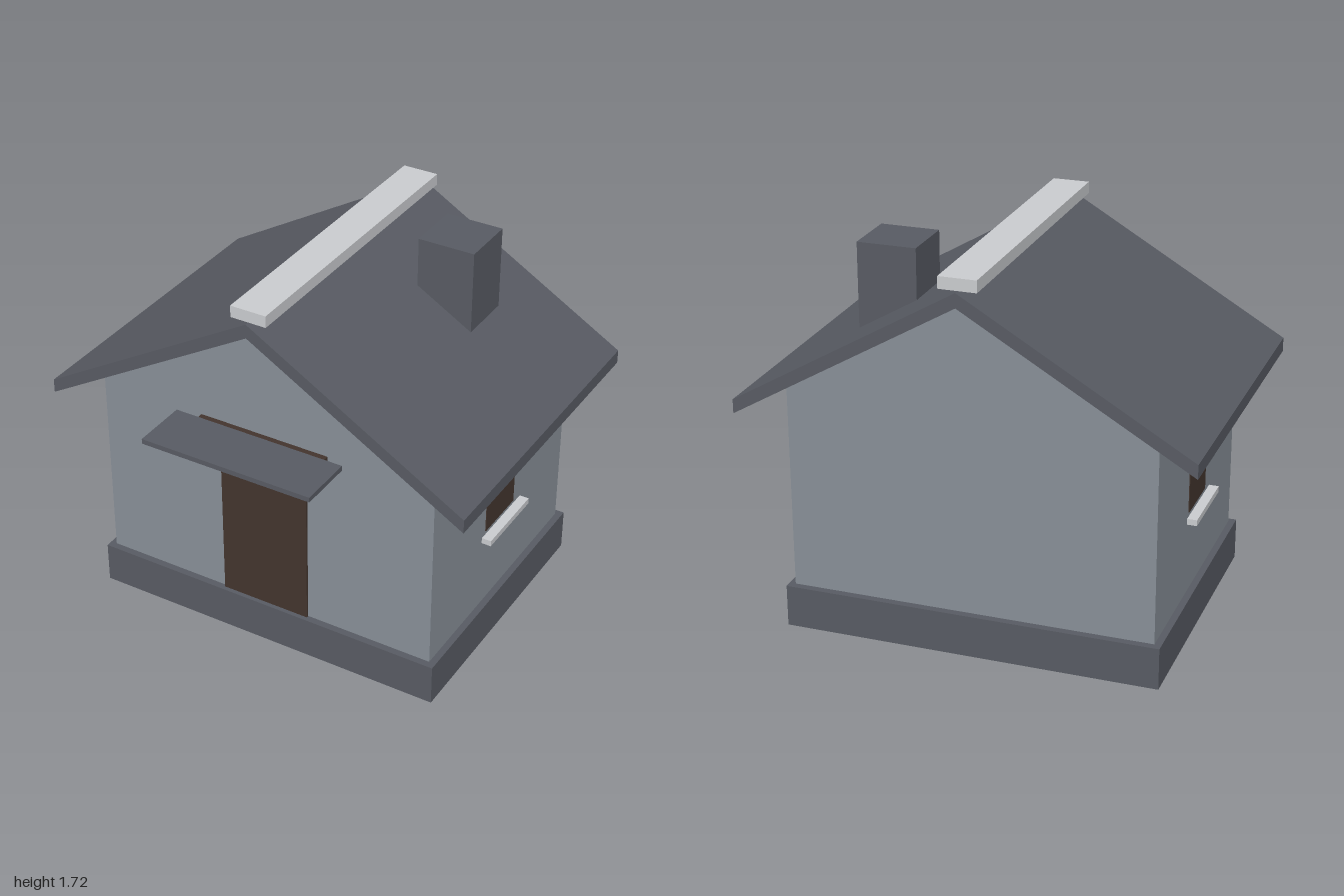
import * as THREE from 'three';

const mat = (name, color, side = THREE.FrontSide) => {
  const m = new THREE.MeshStandardMaterial({ color, side });
  m.name = name;
  return m;
};

export function createModel() {
  const model = new THREE.Group();
  model.name = 'house';
  const wall = mat('grey plaster', 0x868e96);
  const slate = mat('dark slate', 0x575a62, THREE.DoubleSide);
  const wood = mat('dark wood', 0x42342d);
  const stone = mat('pale stone', 0xc8cacd);

  const add = (name, geometry, material) => {
    const mesh = new THREE.Mesh(geometry, material);
    mesh.name = name;
    model.add(mesh);
    return mesh;
  };
  // Box given by its minimum and maximum on each axis
  const box = (name, material, [x0, x1], [y0, y1], [z0, z1]) => {
    const g = new THREE.BoxGeometry(x1 - x0, y1 - y0, z1 - z0);
    g.translate((x0 + x1) / 2, (y0 + y1) / 2, (z0 + z1) / 2);
    return add(name, g, material);
  };
  // Front outline pushed along z
  const prism = (name, material, points, z0, z1) => {
    const shape = new THREE.Shape(points.map(([x, y]) => new THREE.Vector2(x, y)));
    const g = new THREE.ExtrudeGeometry(shape, { depth: z1 - z0, bevelEnabled: false });
    g.translate(0, 0, z0);
    return add(name, g, material);
  };

  // Plinth, open underneath
  const plinth = box('plinth', slate, [-0.84, 0.84], [0, 0.19], [-0.735, 0.555]);
  const index = Array.from(plinth.geometry.index.array);
  index.splice(18, 6);
  plinth.geometry.setIndex(index);
  plinth.geometry.clearGroups();

  // Walls with gables, and the roof slab over them
  prism('walls', wall,
    [[-0.81, 0.192], [0.81, 0.192], [0.81, 1.127], [0, 1.602], [-0.81, 1.127]], -0.705, 0.525);
  prism('roof', slate,
    [[-1, 1.017], [0, 1.602], [1, 1.017], [1, 1.08], [0, 1.666], [-1, 1.08]], -0.827, 0.64);
  box('ridgeCap', stone, [-0.083, 0.083], [1.667, 1.72], [-0.805, 0.622]);
  box('chimney', slate, [0.295, 0.557], [1.3, 1.717], [-0.507, -0.247]);

  // Front door, lintel and canopy
  box('door', wood, [-0.213, 0.211], [0.02, 0.98], [0.505, 0.535]);
  box('doorLintel', wood, [-0.31, 0.31], [1.012, 1.07], [0.515, 0.58]);
  box('doorCanopy', slate, [-0.405, 0.405], [1.063, 1.086], [0.57, 0.827]);

  // Side windows, mirrored left and right
  for (const s of [1, -1]) {
    const side = s > 0 ? 'left' : 'right';
    const span = (a, b) => (s > 0 ? [a, b] : [-b, -a]);
    box(side + 'Window', wood, span(0.807, 0.814), [0.572, 0.908], [-0.22, 0.042]);
    box(side + 'WindowLintel', wood, span(0.819, 0.857), [0.913, 0.96], [-0.27, 0.087]);
    box(side + 'WindowSill', stone, span(0.819, 0.863), [0.541, 0.568], [-0.273, 0.09]);
  }
  return model;
}
